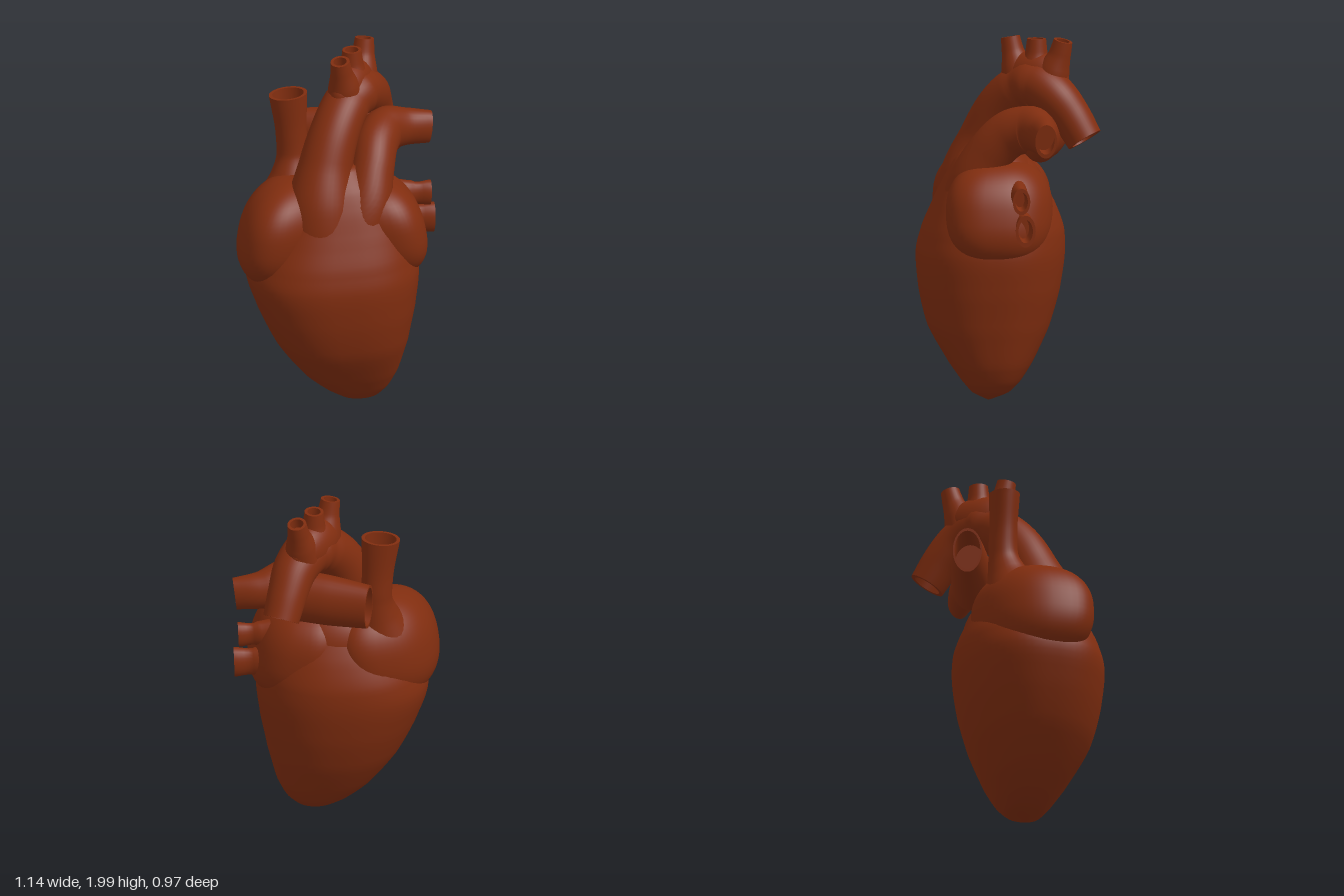
import * as THREE from 'three';

const V = (x, y, z) => new THREE.Vector3(x, y, z);
const pow = (v, e) => Math.sign(v) * Math.abs(v) ** e;

// Smooth closed skin over a list of rings with equal point counts
function skin(rings) {
  const n = rings[0].length, index = [];
  for (let i = 0; i < rings.length - 1; i++) {
    for (let j = 0; j < n; j++) {
      const a = i * n + j, b = i * n + (j + 1) % n;
      index.push(a, b, b + n, a, b + n, a + n);
    }
  }
  const g = new THREE.BufferGeometry().setFromPoints(rings.flat());
  g.setIndex(index);
  g.computeVertexNormals();
  return g;
}

// Open vessel along stations [x, y, z, radius along ref, other radius], hollow at its far end
function vessel(stations, ref, { steps = 28, sides = 32, wall = 0.78, depth = 0.1 } = {}) {
  const path = new THREE.CatmullRomCurve3(stations.map(s => V(s[0], s[1], s[2])));
  const size = new THREE.CatmullRomCurve3(stations.map(s => V(s[3], s[4] ?? s[3], 0)));
  const ring = (t, k) => {
    const c = path.getPoint(t), r = size.getPoint(t), T = path.getTangent(t);
    const a = ref.clone().addScaledVector(T, -ref.dot(T)).normalize();
    const b = T.clone().cross(a);
    return Array.from({ length: sides }, (_, j) => {
      const q = j / sides * Math.PI * 2;
      return c.clone().addScaledVector(a, Math.cos(q) * r.x * k).addScaledVector(b, Math.sin(q) * r.y * k);
    });
  };
  const rings = [];
  for (let i = 0; i <= steps; i++) rings.push(ring(i / steps, 1));
  // rim, bore and its floor; doubled rings keep the edges crisp
  rings.push(ring(1, 1), ring(1, wall), ring(1, wall), ring(1 - depth, wall * 0.95), ring(1 - depth, wall * 0.95), ring(1 - depth, 0));
  return skin(rings);
}

// Ventricle body lofted through [y, xMin, xMax, zMin, zMax], fuller at the front
function ventricles() {
  const s = [
    [0.005, 0.11, 0.13, 0.10, 0.12], [0.045, 0.0, 0.215, 0.0, 0.2], [0.1, -0.09, 0.27, -0.06, 0.25],
    [0.2, -0.205, 0.32, -0.13, 0.32], [0.4, -0.355, 0.372, -0.23, 0.43], [0.6, -0.45, 0.41, -0.29, 0.475],
    [0.8, -0.51, 0.432, -0.32, 0.485], [0.93, -0.48, 0.415, -0.315, 0.455], [1.08, -0.4, 0.37, -0.26, 0.395],
    [1.22, -0.31, 0.29, -0.18, 0.335], [1.33, -0.24, 0.21, -0.1, 0.275], [1.43, -0.15, 0.1, 0.0, 0.18],
  ];
  const mid = new THREE.CatmullRomCurve3(s.map(([y, a, b, c, d]) => V((a + b) / 2, y, (c + d) / 2)));
  const half = new THREE.CatmullRomCurve3(s.map(([, a, b, c, d]) => V((b - a) / 2, 0, (d - c) / 2)));
  const rings = [], steps = 55, sides = 64;
  for (let i = 0; i <= steps; i++) {
    const c = mid.getPoint(i / steps), h = half.getPoint(i / steps);
    rings.push(Array.from({ length: sides }, (_, j) => {
      const q = j / sides * Math.PI * 2, e = Math.cos(q) > 0 ? 0.8 : 0.92;
      return V(c.x + pow(Math.sin(q), e) * h.x, c.y, c.z + pow(Math.cos(q), e) * h.z);
    }));
  }
  // close apex and top
  const close = (k) => rings[k].map(() => mid.getPoint(k ? 1 : 0));
  return skin([close(0), ...rings, close(steps)]);
}

// Atrium: rounded-box blob, leaning in x with height and in z with width
function atrium(c, r, e, leanX, leanZ) {
  const rings = [], steps = 32, sides = 48;
  for (let i = 0; i <= steps; i++) {
    const p = (i / steps - 0.5) * Math.PI, w = Math.max(0, Math.cos(p)) ** e, dy = pow(Math.sin(p), e) * r[1];
    rings.push(Array.from({ length: sides }, (_, j) => {
      const q = j / sides * Math.PI * 2, dx = pow(Math.sin(q), e) * w * r[0];
      return V(c[0] + dx + leanX * dy, c[1] + dy, c[2] + pow(Math.cos(q), e) * w * r[2] + leanZ * dx);
    }));
  }
  return skin(rings);
}

export function createModel() {
  const model = new THREE.Group();
  model.name = 'heart';
  const muscle = new THREE.MeshStandardMaterial({ color: 0x802d0f });
  muscle.name = 'muscle red brown';

  const add = (name, geometry) => {
    const m = new THREE.Mesh(geometry, muscle);
    m.name = name;
    model.add(m);
    return m;
  };

  add('ventricles', ventricles());
  add('rightAtrium', atrium([-0.285, 1.05, 0.05], [0.278, 0.295, 0.285], 0.86, 0.17, -0.36));
  add('leftAtrium', atrium([0.215, 1.045, 0.062], [0.25, 0.28, 0.29], 0.82, -0.2, 0.22));
  add('atrialBridge', atrium([-0.02, 1.1, -0.03], [0.3, 0.24, 0.19], 1, 0, 0));

  // Aorta with its three arch branches rising from a ridge
  add('aorta', vessel([
    [-0.08, 0.82, 0.18, 0.2], [-0.11, 1.03, 0.175, 0.205], [-0.11, 1.22, 0.155, 0.19], [-0.075, 1.42, 0.1, 0.148],
    [-0.01, 1.59, 0.03, 0.135], [0.07, 1.7, -0.06, 0.13], [0.15, 1.735, -0.15, 0.13], [0.222, 1.68, -0.238, 0.122],
    [0.265, 1.58, -0.32, 0.11], [0.305, 1.45, -0.395, 0.1],
  ], V(0.78, 0, 0.62), { steps: 54, sides: 40, depth: 0.12 }));
  const ridge = add('archRidge', new THREE.SphereGeometry(1, 36, 24));
  ridge.position.set(0.118, 1.77, -0.143);
  ridge.scale.set(0.205, 0.145, 0.105);
  ridge.rotation.y = 0.96;
  // each: mouth x, z, then base x, z
  [[0.028, -0.018, 0.068, -0.065], [0.12, -0.152, 0.125, -0.145], [0.217, -0.287, 0.18, -0.22]].forEach(([x, z, bx, bz], i) => {
    const station = (k, y, r) => [x + (bx - x) * k, y, z + (bz - z) * k, r];
    add('archBranch' + (i + 1), vessel([
      station(1, 1.74, 0.1), station(0.65, 1.83, 0.084), station(0.28, 1.905, 0.062), station(0, 1.985, 0.052),
    ], V(1, 0, 0), { steps: 18, sides: 28, wall: 0.7, depth: 0.25 }));
  });

  add('superiorVenaCava', vessel([
    [-0.26, 1.12, -0.03, 0.19, 0.2], [-0.23, 1.3, -0.075, 0.115, 0.115], [-0.222, 1.42, -0.098, 0.082, 0.085],
    [-0.228, 1.56, -0.1, 0.076, 0.086], [-0.245, 1.78, -0.098, 0.083, 0.106],
  ], V(0, 0, 1), { wall: 0.82, depth: 0.3 }));

  // Pulmonary trunk sweeping into the left artery, with the right artery behind the aorta
  add('pulmonaryTrunk', vessel([
    [0.03, 0.82, 0.2, 0.15, 0.15], [0.07, 1.03, 0.215, 0.15, 0.15], [0.13, 1.2, 0.195, 0.14, 0.14],
    [0.18, 1.37, 0.11, 0.127, 0.12], [0.225, 1.48, 0.0, 0.13, 0.12], [0.295, 1.508, -0.105, 0.13, 0.115],
    [0.41, 1.495, -0.15, 0.107, 0.088], [0.553, 1.478, -0.157, 0.094, 0.06],
  ], V(0, 1, 0), { steps: 46, wall: 0.76 }));
  add('rightPulmonaryArtery', vessel([
    [0.42, 1.49, -0.15, 0.08, 0.06], [0.27, 1.475, -0.155, 0.15, 0.11], [0.05, 1.465, -0.215, 0.147, 0.105],
    [-0.175, 1.46, -0.288, 0.13, 0.08],
  ], V(0, 1, 0), { wall: 0.88, depth: 0.3 }));

  // Pulmonary veins leaving the left atrium
  [[1.15, 0.53, -0.025, 0.073, 0.048], [0.99, 0.553, -0.045, 0.088, 0.055]].forEach(([y, x, z, ry, rz], i) => {
    add('pulmonaryVein' + (i + 1), vessel([
      [0.3, y + 0.02, z, ry * 1.1, rz * 1.2], [0.42, y, z, ry, rz], [x, y - 0.005, z, ry, rz],
    ], V(0, 1, 0), { steps: 10, sides: 24, wall: 0.72, depth: 0.4 }));
  });

  return model;
}
